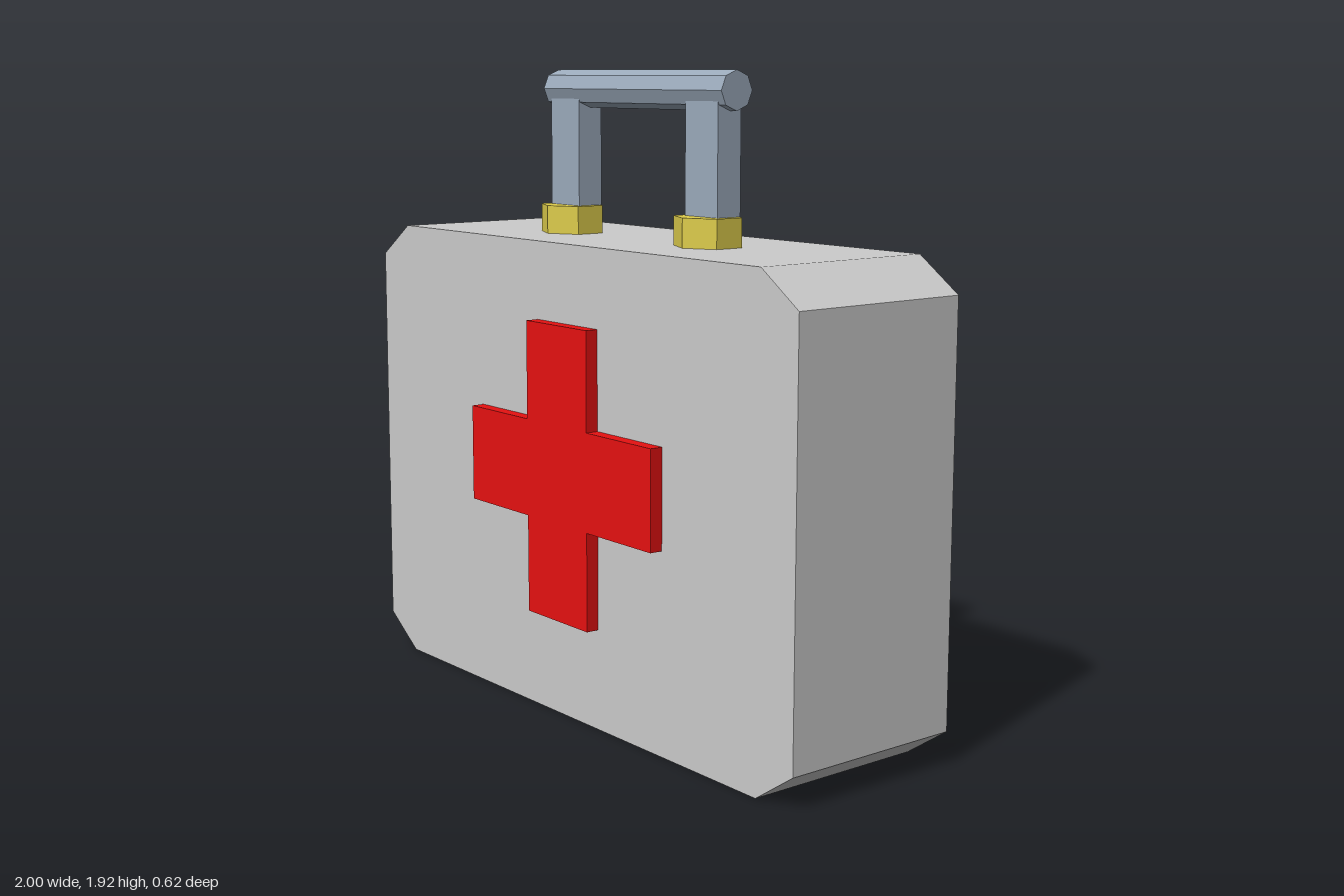
import * as THREE from 'three';

const material = (color) => new THREE.MeshStandardMaterial({ color, flatShading: true });

// Extrude an outline along z between two depths
function slab(points, back, front) {
  const shape = new THREE.Shape(points.map(([x, y]) => new THREE.Vector2(x, y)));
  const geometry = new THREE.ExtrudeGeometry(shape, { depth: front - back, bevelEnabled: false });
  return geometry.translate(0, 0, back);
}

export function createModel() {
  const model = new THREE.Group();
  const grey = material(0xcccccc);
  const red = material(0xe61111);
  const steel = material(0x9baabb);
  const brass = material(0xddcc4c);

  function add(name, geometry, mat, x = 0, y = 0, z = 0) {
    const mesh = new THREE.Mesh(geometry, mat);
    mesh.name = name;
    mesh.position.set(x, y, z);
    model.add(mesh);
    return mesh;
  }

  // Case with clipped corners
  const w = 1, h = 1.42, cx = 0.145, cy = 0.1;
  add('caseBody', slab([
    [-w + cx, 0], [w - cx, 0], [w, cy], [w, h - cy],
    [w - cx, h], [-w + cx, h], [-w, h - cy], [-w, cy],
  ], -0.31, 0.27), grey);

  // Raised cross on the front, slightly off centre
  const a = 0.147, b = 0.442;
  add('cross', slab([
    [-a, -b], [a, -b], [a, -a], [b, -a], [b, a], [a, a],
    [a, b], [-a, b], [-a, a], [-b, a], [-b, -a], [-a, -a],
  ], 0.265, 0.31), red, 0.014, 0.745);

  // Handle posts standing in hexagonal collars
  for (const [side, s] of [['left', 1], ['right', -1]]) {
    const collar = new THREE.CylinderGeometry(0.093, 0.093, 0.095, 6).scale(1.18, 1, 1);
    add(side + 'Collar', collar, brass, s * 0.325, 1.4575, 0);
    add(side + 'Post', new THREE.BoxGeometry(0.142, 0.4, 0.085), steel, s * 0.325, 1.65, -0.018);
  }

  // Octagonal grip bar
  const grip = new THREE.CylinderGeometry(0.057, 0.057, 0.842, 8).rotateZ(Math.PI / 2);
  add('grip', grip, steel, 0.003, 1.859, -0.02);

  return model;
}
